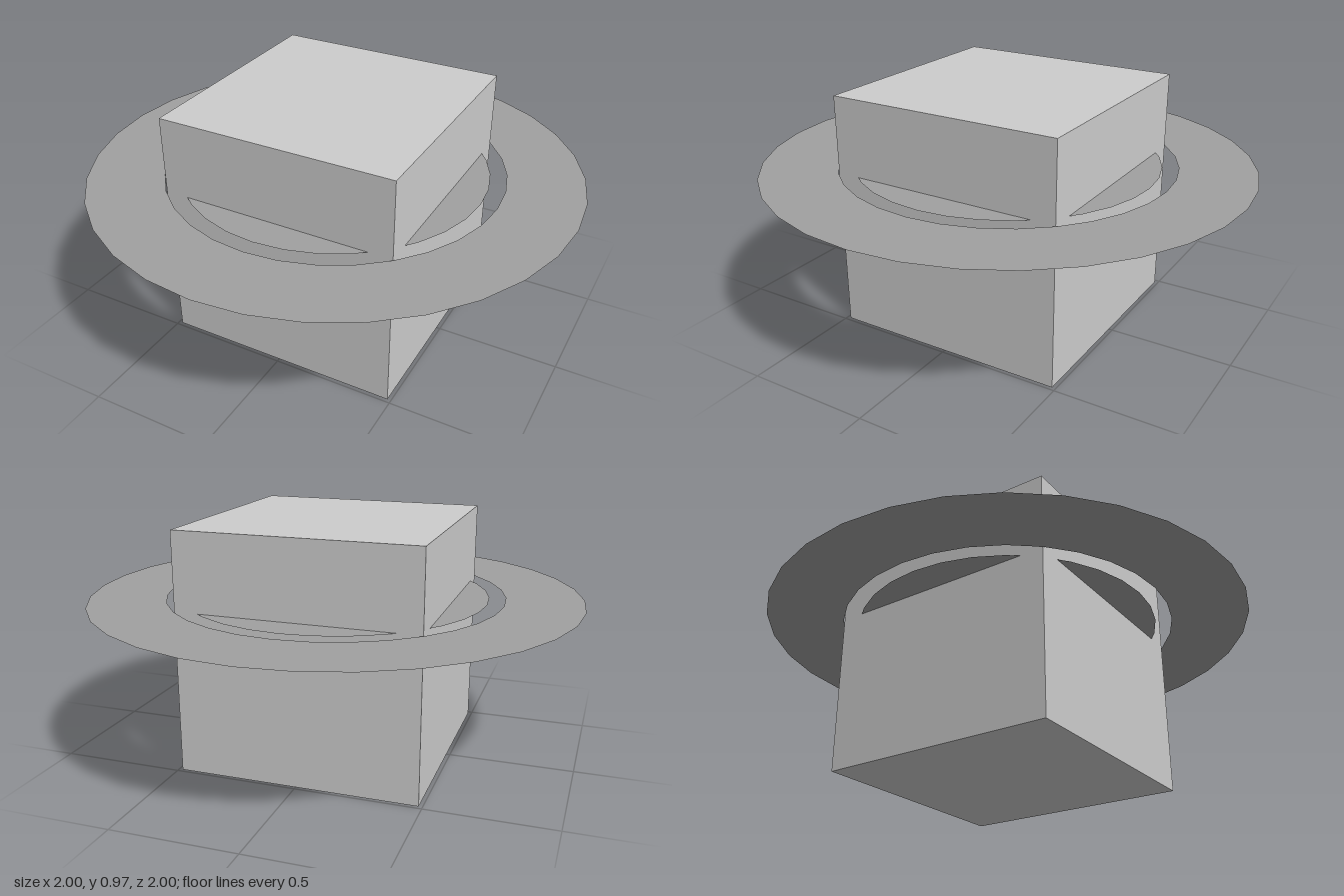
import * as THREE from 'three';

export function createModel() {
  const model = new THREE.Group();
  model.name = 'ringedCube';

  const paleGrey = new THREE.MeshStandardMaterial({ color: 0xcccccc });
  paleGrey.name = 'paleGrey';
  const midGrey = new THREE.MeshStandardMaterial({ color: 0xa0a0a0, side: THREE.DoubleSide });
  midGrey.name = 'midGrey';

  // Cube body standing on the ground
  const size = 0.97;
  const body = new THREE.Mesh(new THREE.BoxGeometry(size, size, size), paleGrey);
  body.name = 'cubeBody';
  body.position.y = size / 2;
  model.add(body);

  // Flat, paper-thin rings around the upper part of the cube
  const addRing = (name, inner, outer) => {
    const ring = new THREE.Mesh(new THREE.RingGeometry(inner, outer, 32), midGrey);
    ring.name = name;
    ring.rotation.x = -Math.PI / 2;
    ring.position.y = 0.655;
    model.add(ring);
  };
  addRing('innerRing', 0.45, 0.624);
  addRing('outerRing', 0.69, 1);

  return model;
}
